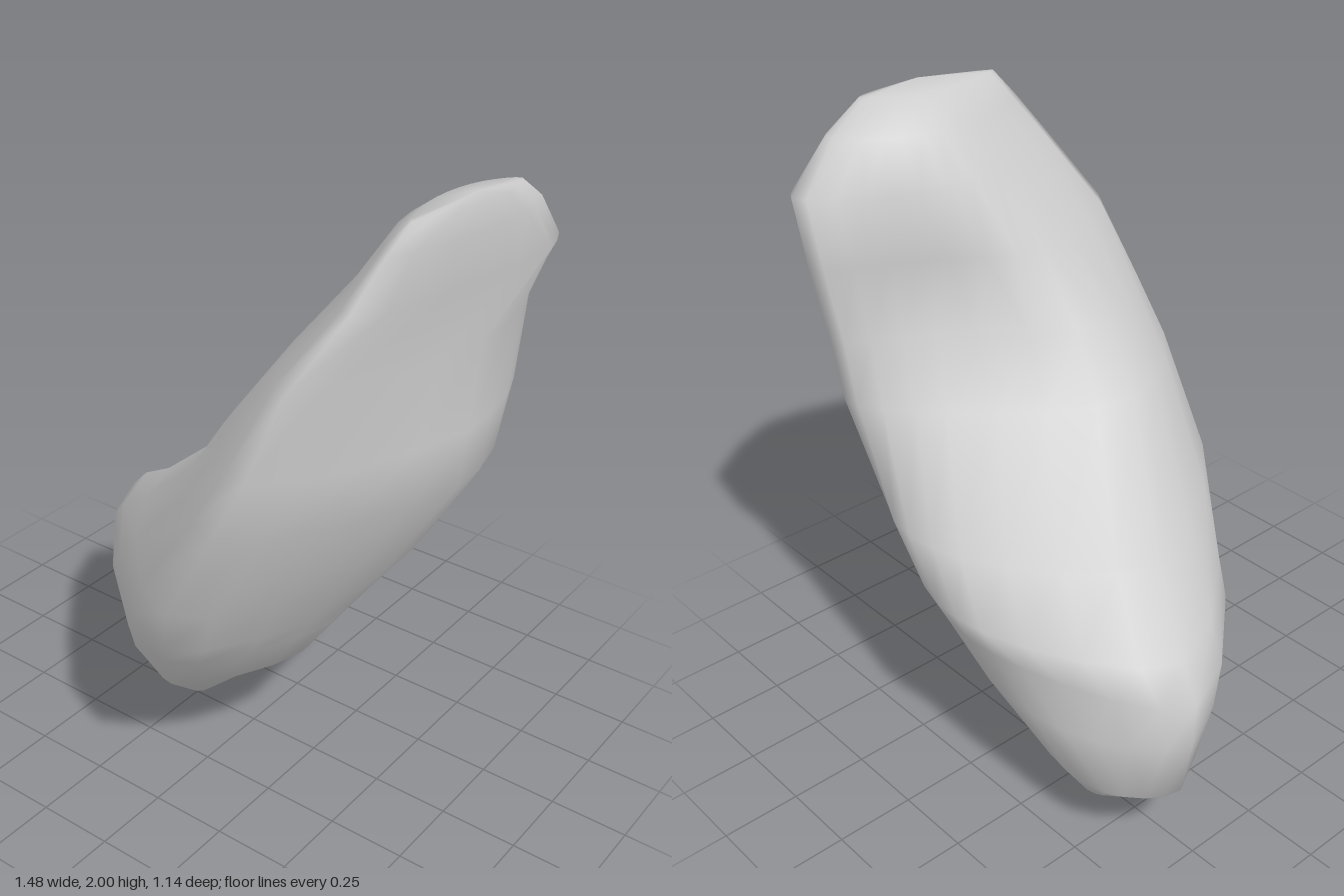
import * as THREE from 'three';

// Horizontal cross-sections: height, then [x, z] of the
// inner edge, inner back, outer back, outer edge and front
const sections = [
  [0.00, [-0.38, -0.22], [-0.36, -0.27], [-0.31, -0.28], [-0.28, -0.23], [-0.31, -0.17]],
  [0.05, [-0.45, -0.21], [-0.45, -0.31], [-0.36, -0.34], [-0.18, -0.08], [-0.21, 0.05]],
  [0.23, [-0.71, -0.27], [-0.57, -0.44], [-0.26, -0.42], [0.01, 0.00], [-0.15, 0.25]],
  [0.40, [-0.73, -0.25], [-0.42, -0.48], [-0.01, -0.45], [0.22, 0.03], [-0.04, 0.41]],
  [0.55, [-0.74, -0.25], [-0.28, -0.50], [0.13, -0.48], [0.32, 0.02], [0.03, 0.50]],
  [0.64, [-0.65, -0.22], [-0.15, -0.55], [0.22, -0.49], [0.38, 0.00], [0.08, 0.54]],
  [0.80, [-0.42, -0.08], [0.00, -0.50], [0.37, -0.49], [0.49, -0.02], [0.13, 0.58]],
  [1.12, [-0.04, 0.17], [0.26, -0.33], [0.53, -0.51], [0.68, -0.06], [0.30, 0.58]],
  [1.30, [0.09, 0.20], [0.41, -0.25], [0.58, -0.51], [0.69, -0.08], [0.38, 0.54]],
  [1.55, [0.25, 0.06], [0.42, -0.28], [0.58, -0.56], [0.69, -0.12], [0.46, 0.48]],
  [1.76, [0.40, 0.00], [0.46, -0.33], [0.64, -0.56], [0.74, -0.38], [0.57, 0.36]],
  [1.90, [0.48, -0.06], [0.54, -0.30], [0.67, -0.41], [0.73, -0.24], [0.61, 0.26]],
  [1.98, [0.59, 0.00], [0.62, -0.18], [0.69, -0.27], [0.72, -0.15], [0.64, 0.20]],
];
const SIDES = 20;

function loftGeometry() {
  const points = [];
  const index = [];

  // Each section is a closed smooth curve through its five points
  for (const [y, ...outline] of sections) {
    const curve = new THREE.CatmullRomCurve3(
      outline.map(([x, z]) => new THREE.Vector3(x, y, z)), true, 'centripetal');
    for (let i = 0; i < SIDES; i++) points.push(curve.getPoint(i / SIDES));
  }

  // Skin between neighbouring sections
  for (let r = 0; r < sections.length - 1; r++) {
    for (let i = 0; i < SIDES; i++) {
      const a = r * SIDES + i;
      const b = r * SIDES + (i + 1) % SIDES;
      index.push(a, a + SIDES, b, b, a + SIDES, b + SIDES);
    }
  }

  // Rounded ends: fans to one centre point each
  const last = (sections.length - 1) * SIDES;
  const bottom = points.push(new THREE.Vector3(-0.33, 0, -0.23)) - 1;
  const top = points.push(new THREE.Vector3(0.68, 2, -0.06)) - 1;
  for (let i = 0; i < SIDES; i++) {
    const j = (i + 1) % SIDES;
    index.push(bottom, i, j, top, last + j, last + i);
  }

  const geometry = new THREE.BufferGeometry().setFromPoints(points);
  geometry.setIndex(index);
  geometry.computeVertexNormals();
  return geometry;
}

export function createModel() {
  const group = new THREE.Group();
  group.name = 'curvedOrganicForm';
  const body = new THREE.Mesh(loftGeometry(), new THREE.MeshStandardMaterial({ color: 0xcccccc }));
  body.name = 'body';
  group.add(body);
  return group;
}
